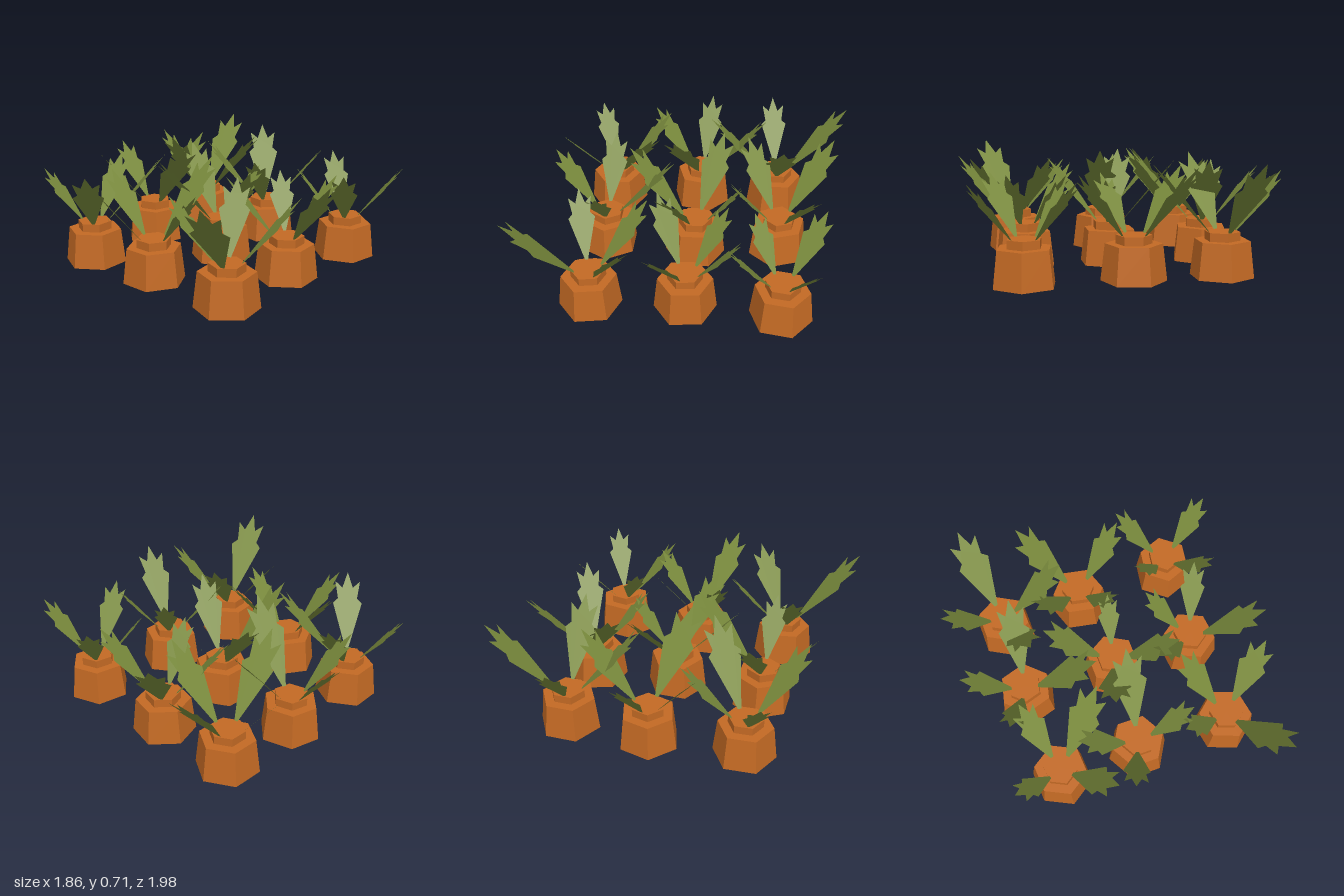
import * as THREE from 'three';

// Each plant: x, z, turn, then the ground positions of its four leaf tips
const PLANTS = [
  { at: [-0.555, -0.55, 0], tips: [[-0.65, -0.99], [-0.92, -0.51], [-0.13, -0.57], [-0.47, -0.11]] },
  { at: [-0.03, -0.565, 0.32], tips: [[-0.31, -0.89], [0.31, -0.74], [0.11, -0.25], [-0.36, -0.35]] },
  { at: [0.59, -0.58, -0.17], tips: [[0.33, -0.82], [0.9, -0.73], [0.33, -0.4], [0.76, -0.26]] },
  { at: [-0.575, -0.045, -0.24], tips: [[-0.93, -0.1], [-0.5, -0.46], [-0.14, 0.11], [-0.74, 0.28]] },
  { at: [0.015, -0.035, 0], tips: [[-0.37, -0.2], [0.09, -0.33], [0.38, 0.14], [-0.12, 0.38]] },
  { at: [0.54, -0.01, 0.08], tips: [[0.31, -0.25], [0.67, -0.33], [0.93, 0.15], [0.23, 0.18]] },
  { at: [-0.54, 0.53, 0.05], tips: [[-0.65, 0.17], [-0.19, 0.25], [-0.27, 0.83], [-0.84, 0.66]] },
  { at: [-0.03, 0.53, 0.5], tips: [[0.05, 0.09], [-0.4, 0.5], [0.31, 0.54], [-0.18, 0.86]] },
  { at: [0.55, 0.56, 0.15], tips: [[0.35, 0.22], [0.86, 0.32], [0.73, 0.99], [0.21, 0.65]] },
];

// Jagged five-pointed leaf of unit length, growing along +y
function leafGeometry() {
  const side = [[0.012, 0], [0.18, 0.6], [0.12, 0.66], [0.155, 0.88], [0.065, 0.8]];
  const outline = [
    ...side, [0, 1],
    ...side.slice().reverse().map(([x, y]) => [-x, y]),
  ];
  return new THREE.ShapeGeometry(new THREE.Shape(outline.map(([x, y]) => new THREE.Vector2(x, y))));
}

export function createModel() {
  const orange = new THREE.MeshStandardMaterial({ color: 0xc46a24 });
  orange.name = 'carrotOrange';
  orange.flatShading = true;
  const green = new THREE.MeshStandardMaterial({ color: 0x798a3c, side: THREE.DoubleSide });
  green.name = 'leafGreen';
  green.flatShading = true;

  const bodyGeo = new THREE.CylinderGeometry(0.165, 0.19, 0.215, 6);
  const collarGeo = new THREE.CylinderGeometry(0.105, 0.105, 0.05, 6);
  const leafGeo = leafGeometry();
  const model = new THREE.Group();
  model.name = 'carrotPatch';

  for (const { at: [x, z, turn], tips } of PLANTS) {
    const plant = new THREE.Group();
    plant.name = 'carrot';
    plant.position.set(x, 0, z);

    // Root top and the smaller collar on it
    const body = new THREE.Mesh(bodyGeo, orange);
    body.name = 'root';
    body.position.y = 0.1075;
    body.rotation.y = turn;
    const collar = new THREE.Mesh(collarGeo, orange);
    collar.name = 'collar';
    collar.position.y = 0.24;
    collar.rotation.y = turn;
    plant.add(body, collar);

    // Leaves splay outward from the collar, the longer ones rising higher
    for (const [tx, tz] of tips) {
      const out = new THREE.Vector3(tx - x, 0, tz - z);
      const reach = out.length() - 0.075;
      out.normalize();
      const along = out.clone().multiplyScalar(reach);
      along.y = 0.07 + reach * 0.98;
      const length = along.length();
      along.normalize();
      const across = new THREE.Vector3(out.z, 0, -out.x);
      const normal = across.clone().cross(along);

      const leaf = new THREE.Mesh(leafGeo, green);
      leaf.name = 'leaf';
      leaf.quaternion.setFromRotationMatrix(new THREE.Matrix4().makeBasis(across, along, normal));
      leaf.scale.setScalar(length);
      leaf.position.copy(out).multiplyScalar(0.075).setY(0.255);
      plant.add(leaf);
    }
    model.add(plant);
  }
  return model;
}
